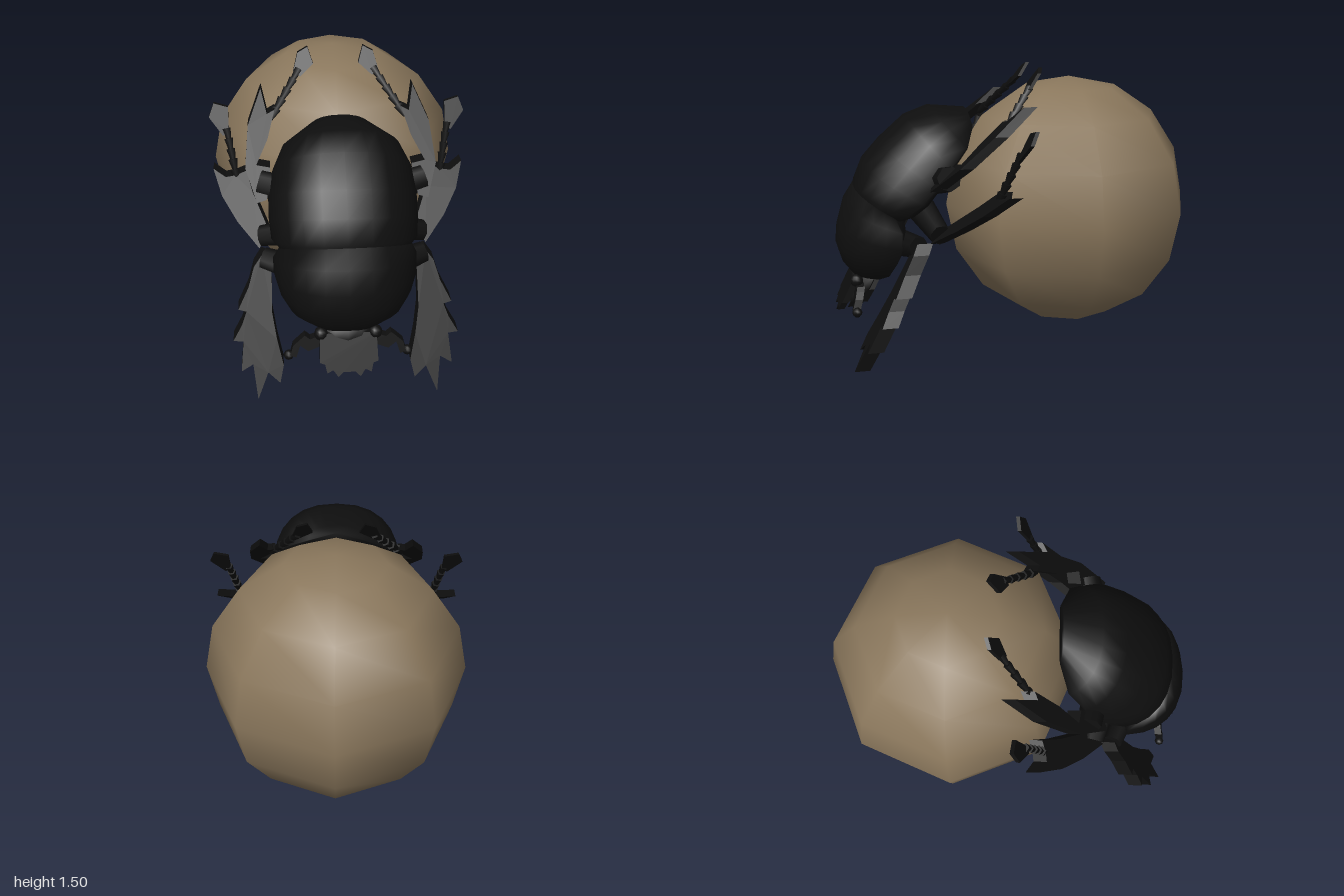
import * as THREE from 'three';

const shell = new THREE.MeshStandardMaterial({ color: 0x0e0e0e });
shell.name = 'black shell';
const dung = new THREE.MeshStandardMaterial({ color: 0x8a775c });
dung.name = 'brown ball';

function add(parent, name, geometry, material = shell) {
  const mesh = new THREE.Mesh(geometry, material);
  mesh.name = name;
  parent.add(mesh);
  return mesh;
}

// Body hull: each section is [dorsal y, dorsal z, edge y, edge z, half width, belly depth]
function loft(sections, n = 24) {
  const pos = [], idx = [];
  for (const [dy, dz, ey, ez, hw, belly] of sections) {
    const len = Math.hypot(dy - ey, dz - ez);
    for (let j = 0; j < n; j++) {
      const a = (j / n) * Math.PI * 2, s = Math.sin(a), c = Math.cos(a);
      const k = s > 0 ? s : (s * belly) / len;
      const x = Math.sign(c) * Math.pow(Math.abs(c), 0.85) * hw;
      pos.push(x, ey + (dy - ey) * k, ez + (dz - ez) * k);
    }
  }
  const last = sections.length - 1;
  for (let i = 0; i < last; i++) {
    for (let j = 0; j < n; j++) {
      const k = (j + 1) % n, a = i * n + j, b = i * n + k;
      idx.push(a, b, b + n, a, b + n, a + n);
    }
  }
  // end caps
  for (const [i, flip] of [[0, true], [last, false]]) {
    const [dy, dz, ey, ez] = sections[i], c = pos.length / 3;
    pos.push(0, (dy + ey) / 2, (dz + ez) / 2);
    for (let j = 0; j < n; j++) {
      const a = i * n + j, b = i * n + ((j + 1) % n);
      idx.push(c, flip ? b : a, flip ? a : b);
    }
  }
  const g = new THREE.BufferGeometry();
  g.setAttribute('position', new THREE.Float32BufferAttribute(pos, 3));
  g.setIndex(idx);
  g.computeVertexNormals();
  return g;
}

// Flat outline in x/y, leaned in depth: z = z0 + slope * (y - y0)
function plate(points, side, thick, [y0, z0, slope]) {
  const shape = new THREE.Shape(points.map(([x, y]) => new THREE.Vector2(x * side, y)));
  const g = new THREE.ExtrudeGeometry(shape, { depth: thick, bevelEnabled: false });
  const p = g.attributes.position;
  for (let i = 0; i < p.count; i++) {
    p.setZ(i, p.getZ(i) - thick / 2 + z0 + slope * (p.getY(i) - y0));
  }
  g.computeVertexNormals();
  return g;
}

// Tapered limb between two points
function limb(a, b, ra, rb, sides = 7) {
  const va = new THREE.Vector3(...a), vb = new THREE.Vector3(...b);
  const dir = vb.clone().sub(va);
  const g = new THREE.CylinderGeometry(rb, ra, dir.length(), sides);
  g.applyQuaternion(new THREE.Quaternion().setFromUnitVectors(new THREE.Vector3(0, 1, 0), dir.clone().normalize()));
  const m = va.add(vb).multiplyScalar(0.5);
  return g.translate(m.x, m.y, m.z);
}

// Saw-edged foot made of flaring joints
function tarsus(parent, name, side, a, b, joints = 5) {
  const at = (t) => a.map((v, i) => (v + (b[i] - v) * t) * (i === 0 ? side : 1));
  for (let i = 0; i < joints; i++) {
    add(parent, name, limb(at(i / joints), at((i + 1.1) / joints), 0.013, 0.027 - i * 0.001, 5));
  }
}

function buildLegs(side) {
  const legs = new THREE.Group();
  legs.name = side > 0 ? 'leftLegs' : 'rightLegs';
  const m = ([x, y, z]) => [x * side, y, z];

  // Front leg with digging teeth
  add(legs, 'frontFemur', limb(m([0.12, 0.6, 0.7]), m([0.41, 0.64, 0.58]), 0.08, 0.055));
  add(legs, 'frontTibia', plate([
    [0.37, 0.64], [0.42, 0.66], [0.46, 0.61], [0.49, 0.52], [0.546, 0.42], [0.505, 0.41], [0.53, 0.35],
    [0.576, 0.28], [0.525, 0.275], [0.54, 0.14], [0.48, 0.17], [0.46, 0.01], [0.405, 0.13], [0.345, 0.08],
    [0.325, 0.16], [0.355, 0.28], [0.375, 0.4],
  ], side, 0.08, [0.62, 0.57, -0.53]));

  // Middle leg
  add(legs, 'middleFemur', limb(m([0.12, 0.78, 0.54]), m([0.42, 0.7, 0.47]), 0.08, 0.055));
  add(legs, 'middleTibia', plate([
    [0.38, 0.72], [0.43, 0.66], [0.54, 0.75], [0.62, 0.84], [0.665, 0.936], [0.6, 0.905], [0.55, 0.91],
    [0.49, 0.925], [0.46, 0.85],
  ], side, 0.07, [0.69, 0.45, -1.3]));
  tarsus(legs, 'middleTarsus', side, [0.54, 0.88, 0.2], [0.585, 1.13, 0.09]);
  add(legs, 'middleClaw', plate([[0.575, 1.12], [0.575, 1.235], [0.65, 1.255], [0.677, 1.19], [0.605, 1.1]],
    side, 0.02, [1.1, 0.1, -0.5]));

  // Rear leg
  add(legs, 'rearFemur', limb(m([0.12, 0.92, 0.48]), m([0.42, 0.99, 0.42]), 0.08, 0.065));
  add(legs, 'rearTibia', plate([
    [0.36, 1.05], [0.38, 0.94], [0.43, 0.93], [0.486, 1.05], [0.47, 1.2], [0.4, 1.335], [0.37, 1.24],
    [0.33, 1.255], [0.37, 1.15], [0.43, 1.06],
  ], side, 0.07, [1, 0.4, -1.2]));
  tarsus(legs, 'rearTarsus', side, [0.355, 1.2, 0.13], [0.2, 1.4, -0.04]);
  add(legs, 'rearClaw', plate([[0.19, 1.375], [0.225, 1.4], [0.2, 1.48], [0.147, 1.505], [0.12, 1.43]],
    side, 0.02, [1.4, -0.04, -0.7]));
  return legs;
}

export function createModel() {
  const model = new THREE.Group();
  model.name = 'beetleWithBall';

  add(model, 'ball', new THREE.SphereGeometry(0.69, 8, 8), dung).position.set(0, 0.75, -0.31);

  const beetle = new THREE.Group();
  beetle.name = 'beetle';
  model.add(beetle);

  // Wing cases and belly, rear to front
  add(beetle, 'wingCases', loft([
    [1.285, 0.27, 1.2, 0.255, 0.16, 0.01],
    [1.3, 0.47, 1.12, 0.31, 0.3, 0.03],
    [1.25, 0.6, 1.03, 0.4, 0.355, 0.05],
    [1.126, 0.74, 0.93, 0.48, 0.375, 0.06],
    [1.02, 0.836, 0.85, 0.55, 0.375, 0.07],
    [0.9, 0.885, 0.79, 0.63, 0.365, 0.08],
    [0.8, 0.88, 0.75, 0.7, 0.3, 0.08],
  ]));

  // Rounded shield behind the head
  add(beetle, 'shield', loft([
    [0.89, 0.885, 0.78, 0.7, 0.33, 0.06],
    [0.8, 0.945, 0.7, 0.66, 0.36, 0.04],
    [0.68, 0.98, 0.61, 0.66, 0.36, 0.03],
    [0.58, 0.99, 0.53, 0.69, 0.335, 0.02],
    [0.49, 0.965, 0.45, 0.73, 0.285, 0.02],
    [0.415, 0.915, 0.405, 0.77, 0.19, 0.01],
  ]));

  // Head: neck, toothed front plate, eyes
  add(beetle, 'neck', loft([
    [0.43, 0.92, 0.42, 0.79, 0.15, 0.02],
    [0.36, 0.925, 0.34, 0.83, 0.15, 0.02],
    [0.28, 0.95, 0.26, 0.91, 0.13, 0.01],
  ], 16));
  const half = [[0.03, 0.225], [0.055, 0.203], [0.08, 0.235], [0.11, 0.222], [0.12, 0.262], [0.145, 0.27], [0.14, 0.4]];
  add(beetle, 'headPlate', plate(
    [...half, ...half.map(([x, y]) => [-x, y]).reverse()], 1, 0.035, [0.4, 0.89, -0.5]));

  for (const side of [1, -1]) {
    add(beetle, 'eye', new THREE.SphereGeometry(0.035, 10, 8)).position.set(side * 0.135, 0.39, 0.89);
    add(beetle, 'antenna', plate([
      [0.12, 0.33], [0.2, 0.3], [0.24, 0.33], [0.26, 0.27], [0.29, 0.28], [0.275, 0.33], [0.24, 0.36],
      [0.215, 0.38], [0.19, 0.36], [0.13, 0.38],
    ], side, 0.04, [0.35, 0.88, -0.3]));
    add(beetle, 'antennaClub', new THREE.SphereGeometry(0.026, 8, 6)).position.set(side * 0.298, 0.27, 0.9);
    beetle.add(buildLegs(side));
  }
  return model;
}
